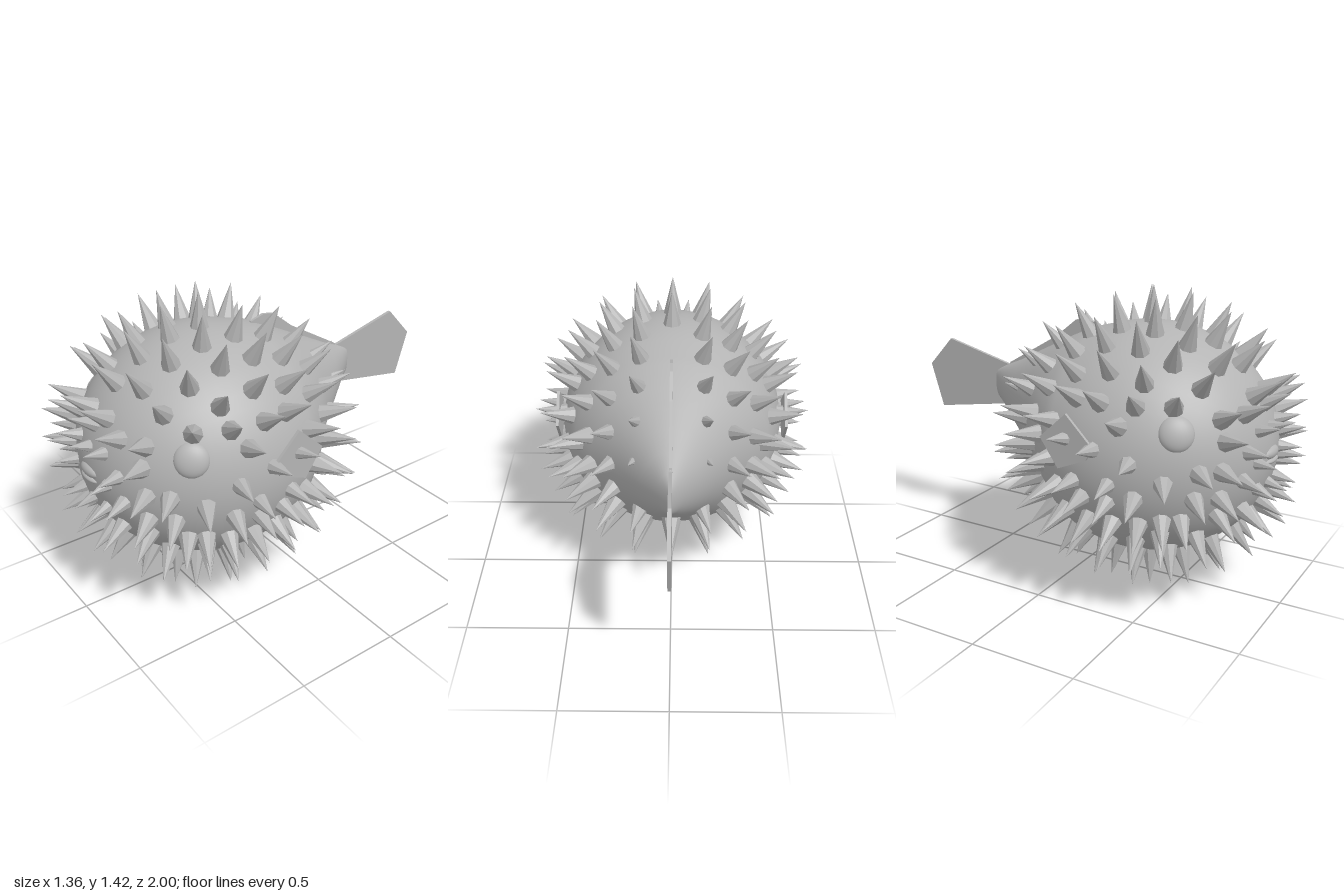
import * as THREE from 'three';
import { mergeGeometries } from 'three/addons/utils/BufferGeometryUtils.js';

const CENTER = new THREE.Vector3(0, 0.705, 0.32);
const RADII = new THREE.Vector3(0.555, 0.54, 0.6);

// Round body running into a tapered tail, lofted from ellipses along z
function bodyGeometry() {
  const sections = []; // z, centre y, half width, half height
  for (let i = 0; i <= 22; i++) {
    const a = 0.002 + (i / 22) * 2.1;
    const s = Math.sin(a);
    const z = CENTER.z + RADII.z * Math.cos(a);
    sections.push([z, CENTER.y + 0.2 * Math.max(0, 0.1 - z), RADII.x * s, RADII.y * s]);
  }
  sections.push(
    [-0.1, 0.748, 0.385, 0.388], [-0.2, 0.77, 0.288, 0.315], [-0.3, 0.785, 0.21, 0.25],
    [-0.4, 0.802, 0.135, 0.18], [-0.5, 0.827, 0.062, 0.112], [-0.58, 0.84, 0.002, 0.06]);
  const n = 48, pos = [], index = [];
  sections.forEach(([z, cy, rx, ry], i) => {
    for (let j = 0; j < n; j++) {
      const t = (j / n) * Math.PI * 2;
      pos.push(rx * Math.cos(t), cy + ry * Math.sin(t), z);
      if (i === sections.length - 1) continue;
      const a = i * n + j, b = i * n + (j + 1) % n;
      index.push(a, a + n, b, b, a + n, b + n);
    }
  });
  const g = new THREE.BufferGeometry();
  g.setAttribute('position', new THREE.Float32BufferAttribute(pos, 3));
  g.setIndex(index);
  g.computeVertexNormals();
  return g;
}

// One faceted spike standing on the body in direction d
function spike(d) {
  // shorter around the mouth and at the middle of each flank
  const size = Math.min(1, 0.5 + 3.5 * (1 - d.z), 0.75 + 3.5 * (1 - Math.abs(d.x)));
  const normal = d.clone().divide(RADII).normalize();
  const length = 0.168 * size + 0.03;
  const base = d.clone().multiply(RADII).add(CENTER);
  const cone = new THREE.ConeGeometry(0.015 + 0.035 * size, length, 8, 1, true).toNonIndexed();
  cone.computeVertexNormals();
  cone.translate(0, length / 2 - 0.03, 0);
  cone.applyQuaternion(new THREE.Quaternion().setFromUnitVectors(new THREE.Vector3(0, 1, 0), normal));
  return cone.translate(base.x, base.y, base.z);
}

// Spikes around the mouth, as x and y of their unit direction
const FACE = [[0, 0.24], [0, -0.24], [0.25, 0], [0.19, 0.25], [0.19, -0.24], [0.35, 0.11], [0.39, -0.11],
  [0, 0.42], [0.3, 0.4], [0.117, 0.5], [0, -0.41], [0.275, -0.4], [0.117, -0.49],
  [0.57, 0], [0.55, -0.23], [0.52, 0.23]];

// Spikes on each flank, as z and y of their unit direction
const FLANK = [[0.27, 0.07], [0.12, -0.12], [-0.17, -0.14], [-0.38, 0], [-0.39, 0.29], [0.17, 0.35],
  [0, 0.5], [0.26, 0.5], [-0.2, 0.5], [0.3, -0.22], [0.1, -0.28], [-0.1, -0.27], [-0.33, -0.22],
  [0, 0.15], [-0.2, 0.2], [0.46, -0.42], [0.3, -0.46], [0.11, -0.47], [-0.08, -0.47], [-0.29, -0.45],
  [-0.56, 0.13], [-0.55, -0.12], [0.5, -0.08]];

function spikesGeometry(eyes) {
  const directions = [];
  // rings around the side-to-side axis, closer together on the belly
  const upper = [24, 22, 20, 16], lower = [24, 22, 20, 20];
  for (let ring = -3; ring <= 3; ring++) {
    const k = Math.abs(ring), lat = ring * Math.PI / 12;
    for (const [counts, isUpper] of [[upper, true], [lower, false]]) {
      for (let j = 0; j < counts[k]; j++) {
        const t = ((j + (k === 2 ? 0.5 : 0)) / counts[k]) * Math.PI * 2;
        if ((Math.sin(t) > -0.01) !== isUpper) continue;
        const d = new THREE.Vector3(Math.sin(lat), Math.cos(lat) * Math.sin(t), Math.cos(lat) * Math.cos(t));
        const onTail = d.z < -0.96;
        const onFace = d.z > 0.8;
        const onDorsal = ring === 0 && d.y > 0 && d.z < -0.2;
        if (!onTail && !onFace && !onDorsal) directions.push(d);
      }
    }
  }
  for (const s of [1, -1]) {
    for (const [x, y] of FACE) {
      if (x > 0 || s > 0) directions.push(new THREE.Vector3(s * x, y, Math.sqrt(1 - x * x - y * y)));
    }
    for (const [z, y] of FLANK) directions.push(new THREE.Vector3(s * Math.sqrt(1 - z * z - y * y), y, z));
  }
  const clear = d => eyes.every(e => e.distanceTo(d.clone().multiply(RADII).add(CENTER)) > 0.095);
  return mergeGeometries(directions.filter(clear).map(spike));
}

// Thin plate from [z, y] outline points, centred on x = 0
function plate(points, thickness) {
  const shape = new THREE.Shape(points.map(p => new THREE.Vector2(p[0], p[1])));
  const g = new THREE.ExtrudeGeometry(shape, { depth: thickness, bevelEnabled: false });
  return g.translate(0, 0, -thickness / 2).rotateY(-Math.PI / 2);
}

export function createModel() {
  const model = new THREE.Group();
  model.name = 'pufferFish';
  const grey = new THREE.MeshStandardMaterial({ color: 0xb4b4b4 });
  grey.name = 'grey';
  const add = (name, geometry) => {
    const mesh = new THREE.Mesh(geometry, grey);
    mesh.name = name;
    model.add(mesh);
    return mesh;
  };

  add('body', bodyGeometry());

  // Eyes, flattened along the body surface normal
  const eyes = [1, -1].map(s => new THREE.Vector3(s * 0.415, 0.872, 0.645));
  eyes.forEach((p, i) => {
    const eye = add(i ? 'rightEye' : 'leftEye', new THREE.SphereGeometry(0.078, 24, 16));
    const n = p.clone().sub(CENTER).divide(RADII).divide(RADII).normalize();
    eye.quaternion.setFromUnitVectors(new THREE.Vector3(0, 0, 1), n);
    eye.scale.z = 0.5;
    eye.position.copy(p);
  });

  add('spikes', spikesGeometry(eyes));

  // Lips with a slit between them
  [['upperLip', 0.718, 0.03], ['lowerLip', 0.684, 0.016]].forEach(([name, y, h]) => {
    const lip = add(name, new THREE.SphereGeometry(1, 20, 12));
    lip.scale.set(0.07, h, 0.03);
    lip.position.set(0, y, 0.908);
  });

  // Fins
  add('tailFin', plate([[-0.46, 0.94], [-0.5, 0.945], [-0.86, 1.035], [-1, 0.885], [-0.93, 0.66], [-0.52, 0.73], [-0.46, 0.76]], 0.016));
  add('dorsalFin', plate([[0.08, 1.12], [0.04, 1.2], [-0.03, 1.22], [-0.09, 1.21], [-0.2, 1.12], [-0.48, 0.955], [-0.5, 0.9], [-0.3, 0.95]], 0.014));
  for (const s of [1, -1]) {
    const fin = add(s > 0 ? 'leftPectoralFin' : 'rightPectoralFin',
      plate([[0.13, 0], [0, 0.13], [-0.13, 0.01], [-0.04, -0.12], [0.1, -0.06]], 0.014));
    fin.position.set(s * 0.562, 0.8, 0.2);
  }
  return model;
}
